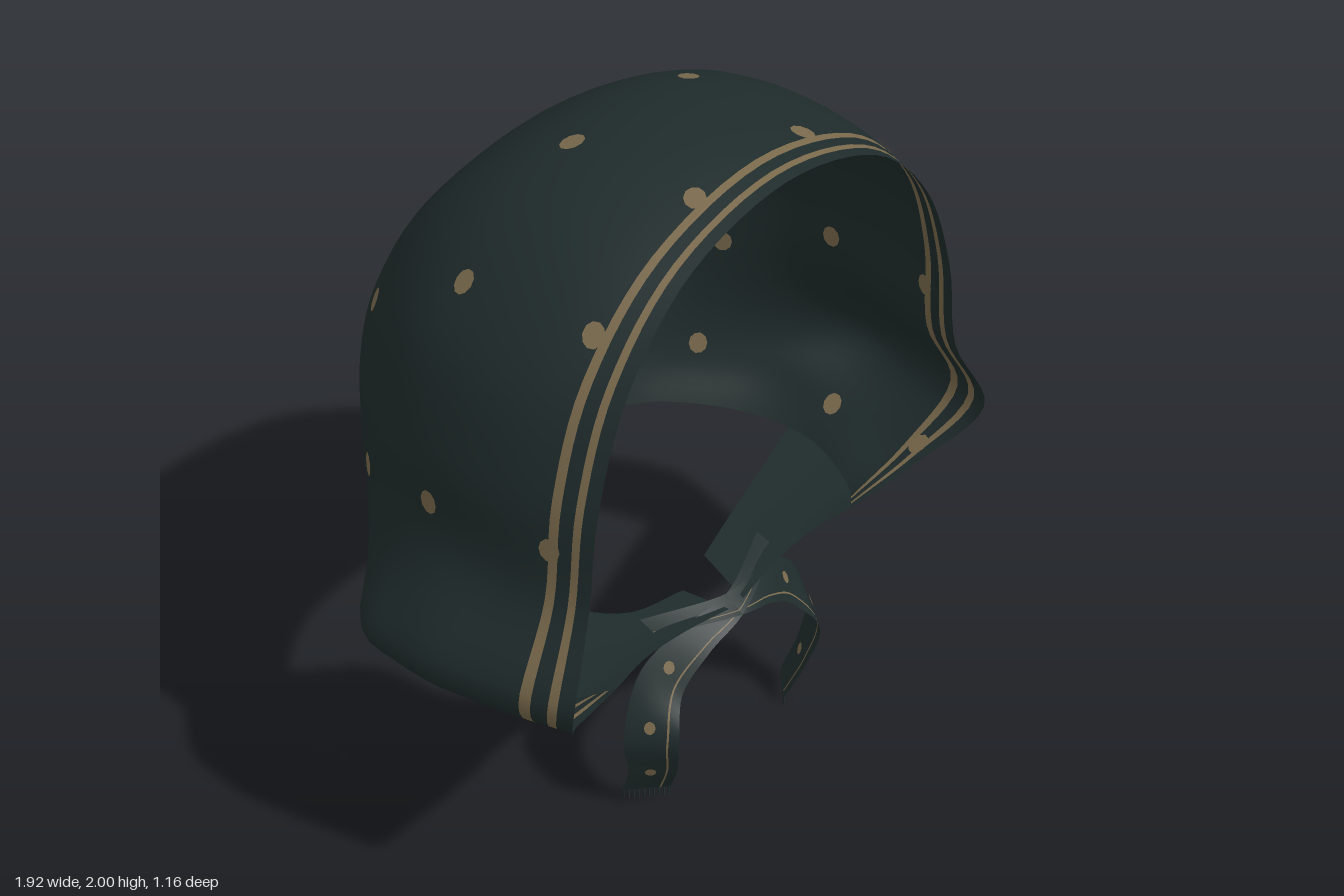
import * as THREE from 'three';
import { mergeVertices } from 'three/addons/utils/BufferGeometryUtils.js';

const cloth = new THREE.MeshStandardMaterial({ color: 0x1f2b2b, side: THREE.DoubleSide });
cloth.name = 'dark green cloth';
const tan = new THREE.MeshStandardMaterial({ color: 0x79694c, side: THREE.DoubleSide });
tan.name = 'tan print';
const V = (x, y, z) => new THREE.Vector3(x, y, z);

// Half cross-sections of the hood, each from crown to hem, ordered front to back
const rim = [[0, 1.95, .5], [.35, 1.87, .505], [.58, 1.66, .515], [.70, 1.38, .525],
  [.75, 1.1, .535], [.86, .85, .58], [.72, .68, .47], [.5, .605, .40]];
const slice = (z, xs, ys) => xs.map((x, i) => [x, ys[i], z]);
const middle = [
  slice(.31, [0, .40, .66, .77, .80, .93, .79, .60], [1.99, 1.89, 1.66, 1.38, 1.10, .85, .68, .585]),
  slice(.10, [0, .41, .68, .79, .82, .955, .80, .70], [2.00, 1.90, 1.66, 1.38, 1.12, .84, .68, .58]),
  slice(-.12, [0, .40, .65, .75, .78, .83, .77, .67], [1.95, 1.86, 1.64, 1.38, 1.12, .85, .70, .59]),
  slice(-.33, [0, .36, .55, .635, .66, .66, .62, .54], [1.81, 1.74, 1.57, 1.36, 1.10, .87, .72, .60]),
];
const back = [
  [[0, 1.59, -.5], [.26, 1.56, -.5], [.42, 1.44, -.5], [.49, 1.28, -.5],
    [.51, 1.1, -.485], [.49, .9, -.455], [.45, .75, -.445], [.38, .61, -.43]],
  [[0, 1.45, -.545], [.17, 1.42, -.55], [.29, 1.32, -.56], [.34, 1.2, -.565],
    [.33, 1.05, -.555], [.30, .89, -.515], [.28, .75, -.49], [.25, .615, -.465]],
  [[0, 1.36, -.563], [0, 1.33, -.57], [0, 1.27, -.575], [0, 1.2, -.58],
    [0, 1.05, -.57], [0, .9, -.525], [0, .76, -.5], [0, .62, -.475]],
];
const sections = [rim, ...middle, ...back].map(s => s.map(p => V(...p)));
const LAST = 7;

const spline = (a, b, c, d, t) => V(0, 0, 0)
  .addScaledVector(a, (-t + 2 * t * t - t ** 3) / 2)
  .addScaledVector(b, (2 - 5 * t * t + 3 * t ** 3) / 2)
  .addScaledVector(c, (t + 4 * t * t - 3 * t ** 3) / 2)
  .addScaledVector(d, (t ** 3 - t * t) / 2);

// Control point with mirrored or extrapolated neighbours past the edges
function control(i, j) {
  if (i < 0) return control(0, j).clone().multiplyScalar(2).sub(control(1, j));
  if (i > LAST) return control(LAST - 1, j).clone().multiply(V(-1, 1, 1));
  if (j < 0) return control(i, 1).clone().multiply(V(-1, 1, 1));
  if (j > LAST) return control(i, LAST).clone().multiplyScalar(2).sub(control(i, LAST - 1));
  return sections[i][j];
}

// Point on the hood: v runs front to back, u from right hem over the crown to left hem
function hoodPoint(v, u) {
  const a = Math.abs(u), side = u < 0 ? -1 : 1;
  const i = Math.min(Math.floor(v), LAST - 1), j = Math.min(Math.floor(a), LAST - 1);
  const across = [-1, 0, 1, 2].map(k =>
    spline(control(i + k, j - 1), control(i + k, j), control(i + k, j + 1), control(i + k, j + 2), a - j));
  const p = spline(...across, v - i);
  // the right side puffs out a little more near the hem
  if (side < 0) p.x += .08 * Math.exp(-(((p.z + .08) / .12) ** 2) - ((p.y - .83) / .12) ** 2);
  p.x *= side;
  return p;
}

// Grid surface with one material group per row
function sheet(name, rows, cols, point, isTan = () => false) {
  const pos = [], index = [], g = new THREE.BufferGeometry();
  for (const r of rows) for (const c of cols) pos.push(...point(r, c).toArray());
  const n = cols.length;
  for (let i = 0; i < rows.length - 1; i++) {
    g.addGroup(index.length, (n - 1) * 6, isTan(i) ? 1 : 0);
    for (let j = 0; j < n - 1; j++) {
      const a = i * n + j, c = a + n;
      index.push(a, a + 1, c, a + 1, c + 1, c);
    }
  }
  g.setAttribute('position', new THREE.Float32BufferAttribute(pos, 3));
  g.setIndex(index);
  const merged = mergeVertices(g, 1e-5);
  merged.computeVertexNormals();
  const mesh = new THREE.Mesh(merged, [cloth, tan]);
  mesh.name = name;
  return mesh;
}
const steps = (a, b, n) => Array.from({ length: n + 1 }, (_, i) => a + (b - a) * i / n);

// Printed spot, shown on both faces of the cloth
function spot(p, n, r) {
  const g = new THREE.Group();
  g.name = 'spot';
  for (const s of [1, -1]) {
    const disc = new THREE.Mesh(new THREE.CircleGeometry(r, 10), tan);
    disc.name = 'spotFace';
    disc.position.copy(p).addScaledVector(n, s * .005);
    disc.lookAt(disc.position.clone().addScaledVector(n, s));
    disc.scale.y = 1.2;
    g.add(disc);
  }
  return g;
}

// Spot on the hood at the surface point nearest to the target
function hoodSpot(target, side) {
  let best = Infinity, bu = 0, bv = 0;
  for (const v of steps(.05, 6.8, 60)) for (const u of steps(.05, 6.9, 60)) {
    const d = hoodPoint(v, u * side).distanceToSquared(target);
    if (d < best) { best = d; bu = u * side; bv = v; }
  }
  const p = hoodPoint(bv, bu), e = .02;
  const n = hoodPoint(bv, bu + e).sub(p).cross(hoodPoint(bv + e, bu).sub(p)).normalize();
  return spot(p, n, .028);
}

// Under-chin flap, joined to the hem and narrowing to the knot; the right one reaches further back
function chinFlap(side) {
  const hemEnd = side > 0 ? 2.4 : 3.9;
  const hem = w => hoodPoint(w * hemEnd, LAST);
  const inner = side > 0
    ? [V(.46, .585, .09), V(.25, .578, .15), V(.09, .575, .2)]
    : [V(.37, .595, -.13), V(.32, .585, .1), V(.23, .58, .21), V(.06, .572, .25)];
  const front = new THREE.CatmullRomCurve3([hem(0), V(.36, .592, .37), V(.2, .58, .37), V(.03, .565, .39)]);
  const rear = new THREE.CatmullRomCurve3([hem(1), ...inner]);
  return sheet('chinFlap', steps(0, 1, 20), steps(0, 1, 16), (w, t) => {
    const p = front.getPoint(t).lerp(rear.getPoint(t), w);
    p.addScaledVector(hem(w).sub(hem(0).lerp(hem(1), w)), (1 - t) ** 2);
    p.x *= side;
    return p;
  });
}

// Hanging tie: a ribbon crossing the middle, with spots and a fringed end
function tie(side) {
  const g = new THREE.Group();
  g.name = side > 0 ? 'leftTie' : 'rightTie';
  const lift = side > 0 ? 0 : .02;
  const path = new THREE.CatmullRomCurve3([V(-.25, .585, .29), V(0, .56, .385), V(.15, .53, .38),
    V(.28, .45, .365), V(.355, .3, .395), V(.33, .17, .38), V(.305, .03 + lift, .335)]);
  const half = new THREE.CatmullRomCurve3([V(0, .01, -.03), V(0, .02, -.03), V(.015, .035, -.035),
    V(.035, .04, -.045), V(.045, 0, -.06), V(.045, 0, -.05), V(.05, 0, -.045)]);
  const point = (w, t) => {
    const p = path.getPoint(t).addScaledVector(half.getPoint(t), w);
    p.x *= side;
    return p;
  };
  g.add(sheet('ribbon', [-1, -.62, -.54, 0, .5, 1], steps(0, 1, 40), point, i => i === 1));
  for (const t of [.45, .62, .84]) {
    const p = point(.1, t);
    const n = point(.2, t).sub(p).cross(point(.1, t + .01).sub(p)).normalize();
    g.add(spot(p, n, .016));
  }
  for (const w of steps(-.95, .95, 9)) {
    const thread = new THREE.Mesh(new THREE.BoxGeometry(.004, .03, .004), cloth);
    thread.name = 'fringe';
    thread.position.copy(point(w, 1));
    thread.position.y -= .015;
    g.add(thread);
  }
  return g;
}

export function createModel() {
  const model = new THREE.Group();
  model.name = 'headscarf';

  // Hood with two stripes behind the front rim
  const rows = [0, .16, .25, .41, .52, .76, ...steps(1, LAST, 30)];
  model.add(sheet('hood', rows, steps(-LAST, LAST, 84), hoodPoint, i => i === 1 || i === 3));

  // Spots, mirrored on both sides
  const spots = [[.21, 2, .015], [.21, 1.79, -.38], [.21, 1.28, -.57], [.62, 1.76, .01], [.56, 1.51, -.345],
    [.8, 1.24, .06], [.5, 1.11, -.46], [.71, 1.11, -.25], [.64, .77, -.28], [.8, .66, .1],
    [.2, 1.96, .385], [.57, 1.74, .4], [.76, 1.25, .41], [.76, .69, .43]];
  for (const side of [1, -1]) {
    for (const [x, y, z] of spots) model.add(hoodSpot(V(x * side, y, z), side));
    model.add(chinFlap(side), tie(side));
  }
  return model;
}
